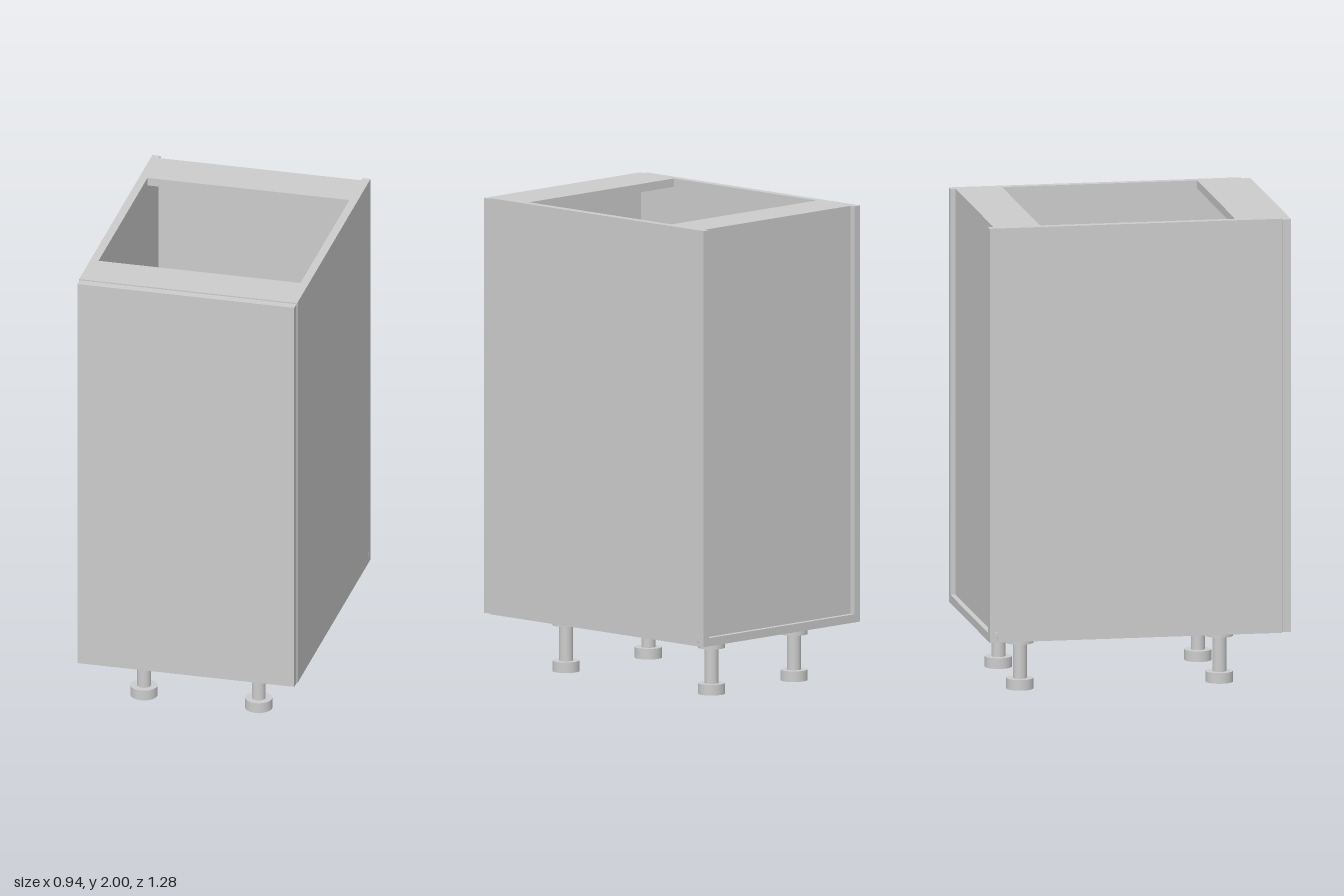
import * as THREE from 'three';

export function createModel() {
  const model = new THREE.Group();
  const grey = new THREE.MeshStandardMaterial({ color: 0xcccccc });

  const add = (name, geometry, x, y, z, parent = model) => {
    const mesh = new THREE.Mesh(geometry, grey);
    mesh.name = name;
    mesh.position.set(x, y, z);
    parent.add(mesh);
    return mesh;
  };

  // Box panel given by its limits on each axis
  const panel = (name, [x0, x1], [y0, y1], [z0, z1]) =>
    add(name, new THREE.BoxGeometry(x1 - x0, y1 - y0, z1 - z0),
      (x0 + x1) / 2, (y0 + y1) / 2, (z0 + z1) / 2);

  const W = 0.47, T = 0.035, IN = W - T;
  const BOTTOM = 0.24, TOP = 2, BACK = -0.64, FRONT = 0.6;

  // Carcass: side panels, floor, recessed back and two top rails
  panel('leftSide', [IN, W], [BOTTOM, TOP], [BACK, FRONT]);
  panel('rightSide', [-W, -IN], [BOTTOM, TOP], [BACK, FRONT]);
  panel('floorPanel', [-IN, IN], [BOTTOM, BOTTOM + T], [BACK, FRONT]);
  panel('backPanel', [-IN, IN], [BOTTOM + T, TOP], [-0.618, -0.607]);
  panel('backRail', [-IN, IN], [TOP - T, TOP], [-0.607, -0.42]);
  panel('frontRail', [-IN, IN], [TOP - T, TOP], [0.408, FRONT]);

  // Door, slightly narrower and lower than the carcass
  panel('door', [-0.467, 0.467], [BOTTOM + 0.002, TOP - 0.004], [0.603, 0.64]);

  // Small fittings near the back edge of each side: top plug and side slot cover
  const plug = new THREE.CylinderGeometry(0.006, 0.006, 0.002, 16);
  const slot = new THREE.CapsuleGeometry(0.006, 0.014, 4, 12);
  slot.scale(0.2, 1, 1);
  for (const s of [-1, 1]) {
    add('topPlug', plug, s * 0.457, TOP - 0.0005, -0.613);
    add('sideSlotCover', slot, s * W, 0.27, -0.61);
  }

  // Adjustable legs: mounting flange, stem and foot
  const disc = new THREE.CylinderGeometry(0.057, 0.057, 0.045, 32);
  const stem = new THREE.CylinderGeometry(0.029, 0.029, 0.15, 32);
  for (const x of [-0.247, 0.247]) {
    for (const z of [0.376, -0.471]) {
      const leg = new THREE.Group();
      leg.name = 'leg';
      leg.position.set(x, 0, z);
      add('foot', disc, 0, 0.0225, 0, leg);
      add('stem', stem, 0, 0.12, 0, leg);
      add('flange', disc, 0, 0.2175, 0, leg);
      model.add(leg);
    }
  }
  return model;
}
